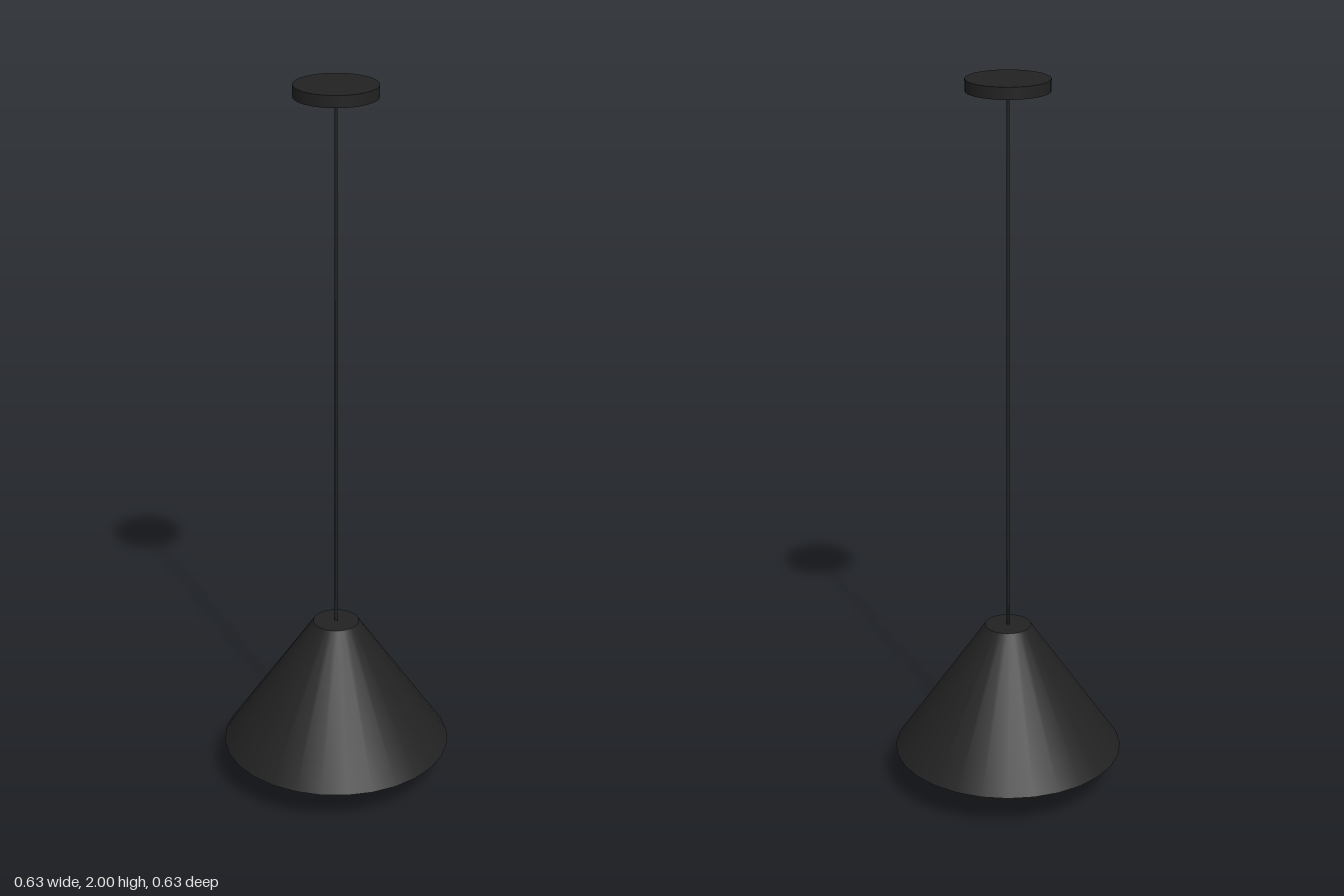
import * as THREE from 'three';

export function createModel() {
  const lamp = new THREE.Group();
  lamp.name = 'pendantLamp';
  const black = new THREE.MeshStandardMaterial({ color: 0x222222 });
  const cream = new THREE.MeshStandardMaterial({ color: 0xfff0d8 });

  const add = (name, geometry, material, y) => {
    const mesh = new THREE.Mesh(geometry, material);
    mesh.name = name;
    mesh.position.y = y;
    lamp.add(mesh);
  };

  // Upright round part between two heights
  const addRound = (name, topRadius, bottomRadius, bottom, top, sides) =>
    add(name, new THREE.CylinderGeometry(topRadius, bottomRadius, top - bottom, sides), black, (top + bottom) / 2);

  addRound('ceilingCanopy', 0.111, 0.111, 1.968, 2, 28);
  addRound('cord', 0.004, 0.004, 0.473, 1.968, 8);
  // Closed conical shade; the bulb pokes out of its underside
  addRound('shade', 0.0635, 0.317, 0.102, 0.473, 28);
  add('bulb', new THREE.SphereGeometry(0.074, 24, 16), cream, 0.074);

  return lamp;
}
